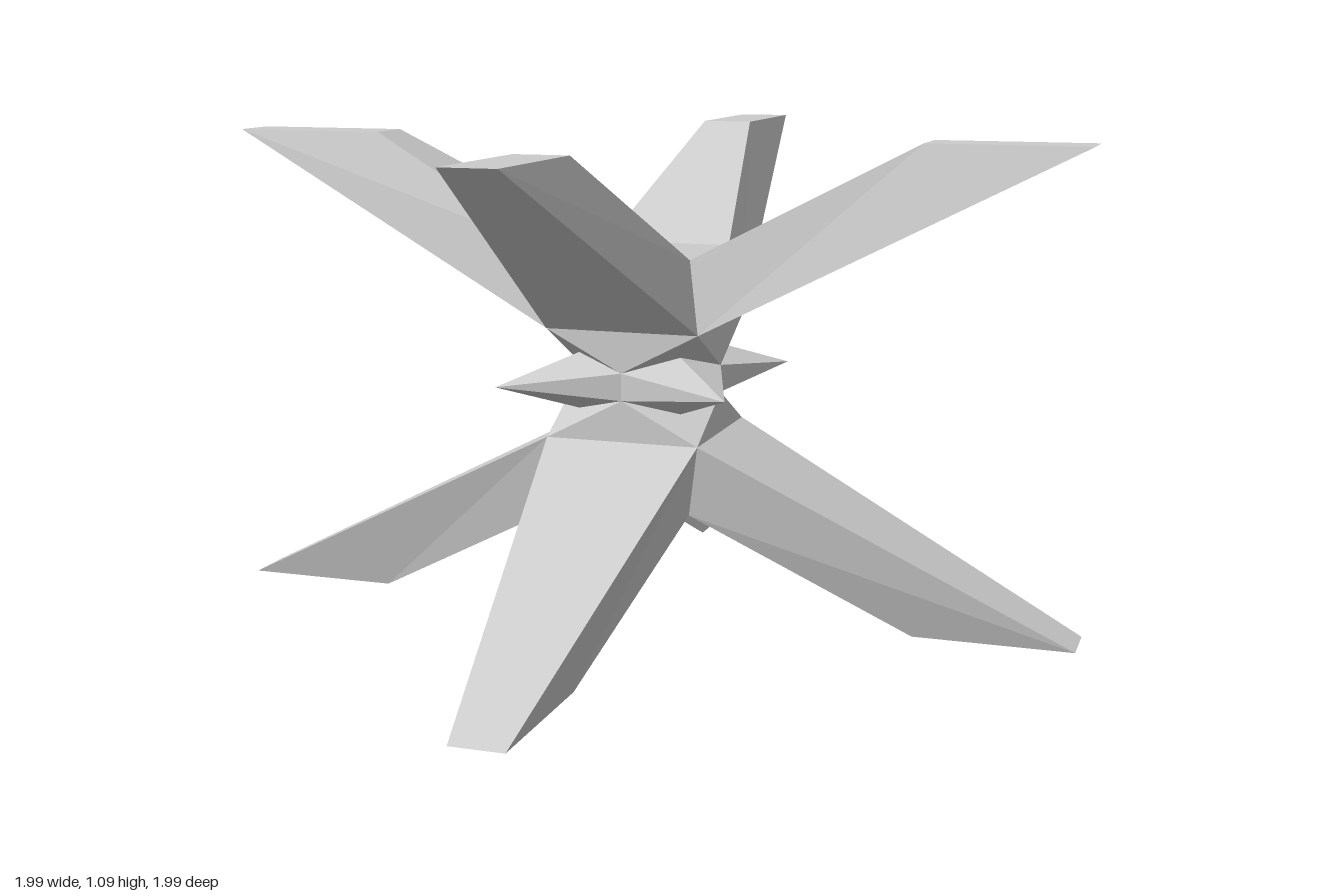
import * as THREE from 'three';

const MID = 0.544; // height of the horizontal mirror plane
const material = new THREE.MeshStandardMaterial({ color: 0xcccccc, flatShading: true, side: THREE.DoubleSide });

// Turns polygons (corner lists, counter-clockwise from outside) into a mesh.
// Each polygon is repeated at four quarter turns; flip mirrors it downwards.
function fourfoldMesh(name, polygons, flip = false) {
  const positions = [];
  for (let turn = 0; turn < 4; turn++) {
    const c = [1, 0, -1, 0][turn], s = [0, 1, 0, -1][turn];
    for (const polygon of polygons) {
      const corners = polygon.map(([x, y, z]) => [c * x + s * z, flip ? -y : y, -s * x + c * z]);
      if (flip) corners.reverse();
      for (let i = 1; i < corners.length - 1; i++) {
        positions.push(...corners[0], ...corners[i], ...corners[i + 1]);
      }
    }
  }
  const geometry = new THREE.BufferGeometry();
  geometry.setAttribute('position', new THREE.Float32BufferAttribute(positions, 3));
  geometry.computeVertexNormals();
  const mesh = new THREE.Mesh(geometry, material);
  mesh.name = name;
  return mesh;
}

// Heights are relative to the mirror plane
const IN = 0.15, IN_Y = 0.286;   // outer rim of the hub
const OUT = 0.177, OUT_Y = 0.124; // rim facing the middle
const TIP = 0.997, KNEE = 0.64, TIP_Y = 0.544, W = 0.06;

// One arm along +x: two sides and the face towards the middle
const rim = (s) => [IN, IN_Y, s * IN];
const root = (s) => [OUT, OUT_Y, s * OUT];
const knee = (s) => [KNEE, TIP_Y, s * W];
const tip = (s) => [TIP, TIP_Y, s * W];
const armShell = [
  [root(1), tip(1), knee(1), rim(1)],
  [rim(-1), knee(-1), tip(-1), root(-1)],
  [root(1), root(-1), tip(-1), tip(1)],
];
// Covering faces: slope, flat end and a quarter of the hub lid
const armCover = [
  [rim(1), knee(1), knee(-1), rim(-1)],
  [knee(1), tip(1), tip(-1), knee(-1)],
  [[0, IN_Y, 0], rim(1), rim(-1)],
];

// Core: a triangle on each wall and a bevel at each corner, raised into a spike
const NOTCH_Y = 0.031;
const corner = [OUT, OUT_Y, OUT];
const wallX = [OUT, NOTCH_Y, 0], wallZ = [0, NOTCH_Y, OUT];
const ridge = [0.12, 0.064, 0.12];
const spike = [0.265, 0, 0.265];
const coreFaces = [
  [[OUT, OUT_Y, OUT], wallX, [OUT, OUT_Y, -OUT]],
  [corner, ridge, wallX],
  [corner, wallZ, ridge],
];
const spikeFaces = [
  [ridge, spike, wallX],
  [wallX, spike, [OUT, 0, 0]],
  [ridge, wallZ, spike],
  [wallZ, [0, 0, OUT], spike],
];

export function createModel() {
  const model = new THREE.Group();
  model.name = 'crossedStar';
  const body = new THREE.Group();
  body.name = 'body';
  body.position.set(0, MID, -0.006);
  body.add(
    fourfoldMesh('upperArms', [...armShell, ...armCover]),
    fourfoldMesh('lowerArms', armShell, true), // open underneath
  );
  for (const flip of [false, true]) {
    const half = flip ? 'lower' : 'upper';
    body.add(fourfoldMesh(half + 'Core', coreFaces, flip));
    body.add(fourfoldMesh(half + 'Spikes', spikeFaces, flip));
  }
  model.add(body);
  return model;
}
